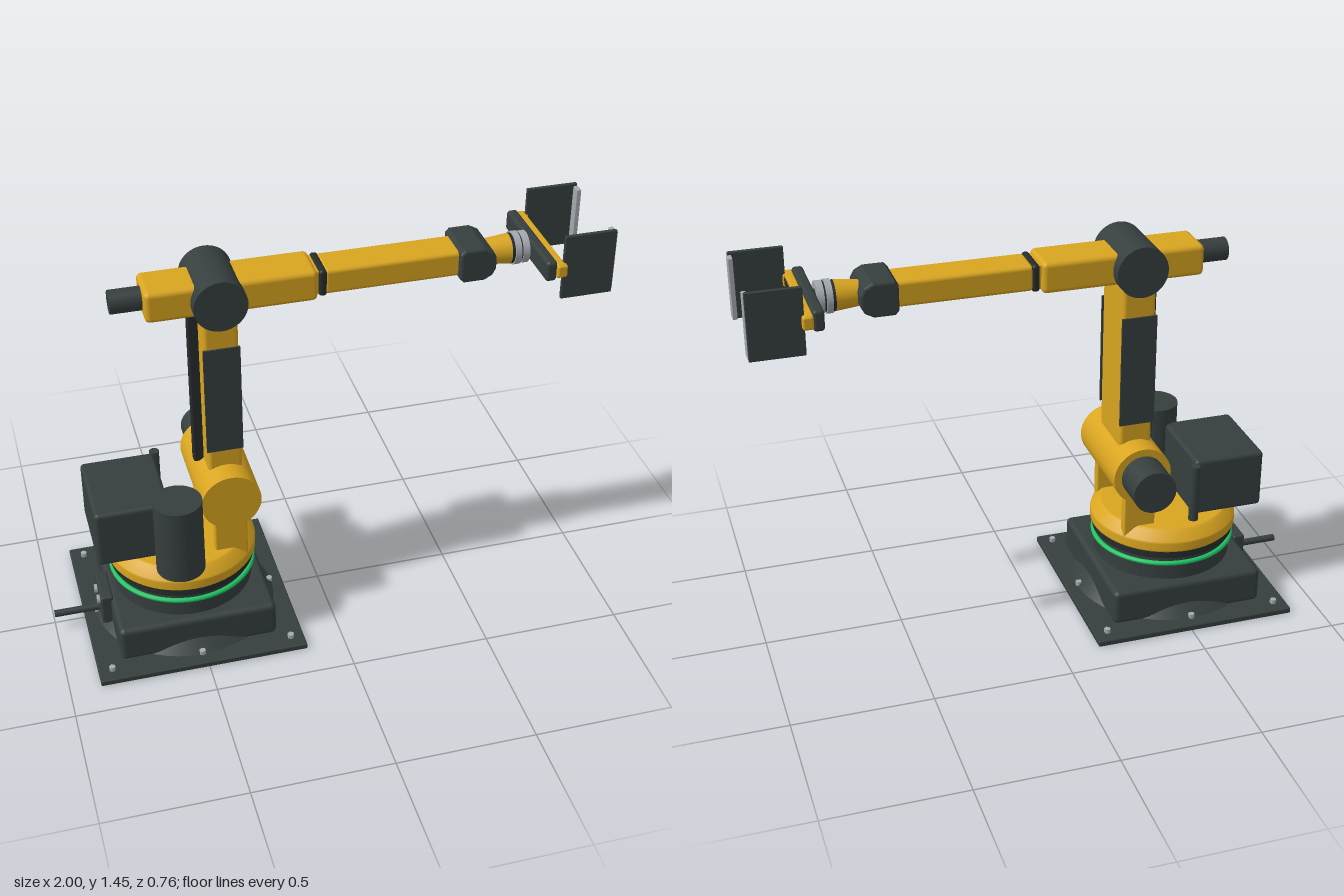
import * as THREE from 'three';
import { RoundedBoxGeometry } from 'three/addons/geometries/RoundedBoxGeometry.js';

const material = (name, color) => {
  const m = new THREE.MeshStandardMaterial({ color });
  m.name = name;
  return m;
};

export function createModel() {
  const yellow = material('yellow paint', 0xd9a520);
  const dark = material('charcoal', 0x363e3e);
  const black = material('black trim', 0x252b2c);
  const green = material('green light', 0x1fc463);
  const steel = material('steel', 0xa4a9b0);

  const root = new THREE.Group();
  root.name = 'robotArm';

  const add = (name, geometry, mat, x = 0, y = 0, z = 0) => {
    const mesh = new THREE.Mesh(geometry, mat);
    mesh.name = name;
    mesh.position.set(x, y, z);
    root.add(mesh);
    return mesh;
  };
  // Boxes are given by their limits on each axis; r rounds the edges
  const box = (name, mat, [x0, x1], [y0, y1], [z0, z1], r = 0) => {
    const s = [x1 - x0, y1 - y0, z1 - z0];
    const g = r ? new RoundedBoxGeometry(...s, 3, r) : new THREE.BoxGeometry(...s);
    return add(name, g, mat, (x0 + x1) / 2, (y0 + y1) / 2, (z0 + z1) / 2);
  };
  // Cylinders run from a to b along one axis; u and v are the other two coordinates in order
  const cyl = (name, mat, axis, a, b, u, v, r0, r1 = r0, n = 40) => {
    const g = new THREE.CylinderGeometry(r1, r0, b - a, n);
    const m = (a + b) / 2;
    if (axis === 'x') g.rotateZ(-Math.PI / 2);
    if (axis === 'z') g.rotateX(Math.PI / 2);
    const p = { x: [m, u, v], y: [u, m, v], z: [u, v, m] }[axis];
    return add(name, g, mat, ...p);
  };

  const BX = -0.515; // turning axis of the base
  const JX = -0.36;  // shoulder and elbow axis
  const AY = 1.323;  // height of the upper arm

  // Base plate, housing and bolts
  box('basePlate', dark, [-0.89, -0.14], [0, 0.022], [-0.38, 0.38], 0.005);
  box('baseHousing', dark, [-0.8, -0.23], [0.015, 0.15], [-0.288, 0.288], 0.02);
  cyl('baseFlare', dark, 'y', 0.02, 0.07, BX, 0, 0.335, 0.28, 48);
  for (const i of [-1, 0, 1]) {
    for (const k of [-1, 0, 1]) {
      if (i || k) cyl('baseBolt', steel, 'y', 0.02, 0.038, BX + i * 0.326, k * 0.328, 0.012, 0.012, 6);
    }
  }

  // Rear connector box and cable
  box('connectorBox', dark, [-0.835, -0.79], [0.04, 0.16], [-0.06, 0.1], 0.008);
  for (const z of [0, 0.06]) cyl('connector', steel, 'x', -0.845, -0.83, 0.128, z, 0.016, 0.016, 16);
  cyl('cable', dark, 'x', -1, -0.8, 0.068, 0.03, 0.013, 0.013, 16);

  // Turning column with light ring
  cyl('column', dark, 'y', 0.14, 0.215, BX, 0, 0.253, 0.253, 64);
  cyl('columnNeck', dark, 'y', 0.21, 0.25, BX, 0, 0.245, 0.245, 64);
  cyl('bearing', black, 'y', 0.245, 0.272, BX, 0, 0.262, 0.262, 64);
  const ring = new THREE.TorusGeometry(0.258, 0.009, 10, 64).rotateX(Math.PI / 2);
  add('lightRing', ring, green, BX, 0.22, 0);

  // Turntable with a sloped rim
  const rim = [[0, 0.27], [0.262, 0.27], [0.262, 0.27], [0.27, 0.278], [0.27, 0.278], [0.27, 0.308],
    [0.268, 0.316], [0.24, 0.345], [0.23, 0.35], [0.23, 0.35], [0, 0.35]];
  add('turntable', new THREE.LatheGeometry(rim.map(p => new THREE.Vector2(...p)), 64), yellow, BX, 0, 0);

  // Control box, motor and post standing on the turntable
  box('controlBox', dark, [-0.838, -0.572], [0.357, 0.578], [-0.168, 0.158], 0.015);
  box('controlBoxFoot', dark, [-0.74, -0.58], [0.34, 0.37], [-0.1, 0.1]);
  cyl('turnMotor', dark, 'y', 0.348, 0.64, -0.557, 0.22, 0.086);
  cyl('post', dark, 'y', 0.345, 0.57, -0.565, -0.182, 0.018, 0.018, 20);

  // Shoulder
  for (const s of [-1, 1]) {
    box('shoulderBracket', yellow, [-0.42, -0.302], [0.29, 0.56], [s * 0.15 - 0.018, s * 0.15 + 0.018], 0.006);
  }
  cyl('shoulder', yellow, 'z', -0.187, 0.187, JX, 0.566, 0.107, 0.107, 56);
  cyl('shoulderMotor', dark, 'z', -0.315, -0.18, JX, 0.567, 0.079);

  // Lower arm with side covers and cable duct
  box('lowerArm', yellow, [-0.42, -0.299], [0.58, 1.265], [-0.105, 0.105], 0.015);
  for (const s of [-1, 1]) {
    box('sideCover', dark, [-0.424, -0.296], [0.738, 1.152], [s * 0.107 - 0.004, s * 0.107 + 0.004]);
  }
  box('cableDuct', black, [-0.455, -0.415], [0.64, 1.25], [-0.018, 0.018], 0.006);

  // Elbow and upper arm
  cyl('elbow', dark, 'z', -0.128, 0.128, JX, AY + 0.002, 0.092, 0.092, 48);
  box('upperArm', yellow, [-0.603, -0.018], [1.267, 1.38], [-0.081, 0.081], 0.018);
  cyl('rollMotor', dark, 'x', -0.71, -0.59, AY + 0.002, 0, 0.041);
  box('armCollar', black, [-0.012, 0.016], [1.275, 1.373], [-0.071, 0.071], 0.012);
  box('armNeck', yellow, [-0.03, 0.02], [1.282, 1.366], [-0.06, 0.06]);
  box('forearm', yellow, [0.008, 0.5], [1.278, 1.37], [-0.066, 0.066], 0.014);

  // Wrist block
  const side = [[0.478, 0.045], [0.492, 0.061], [0.565, 0.061], [0.595, 0.045], [0.608, 0.02]];
  const outline = [...side, ...side.map(([x, y]) => [x, -y]).reverse()];
  const wrist = new THREE.ExtrudeGeometry(new THREE.Shape(outline.map(p => new THREE.Vector2(...p))),
    { depth: 0.164, bevelThickness: 0.01, bevelSize: 0.008, bevelOffset: -0.008, bevelSegments: 2 });
  add('wrist', wrist, dark, 0, AY + 0.001, -0.082);

  // Tool flange
  cyl('wristCone', yellow, 'x', 0.58, 0.682, AY, 0, 0.043, 0.053);
  cyl('flangeSeal', black, 'x', 0.68, 0.692, AY, 0, 0.053);
  cyl('flangeRing', steel, 'x', 0.69, 0.712, AY, 0, 0.058);
  cyl('flangeGap', black, 'x', 0.71, 0.72, AY, 0, 0.052);
  cyl('flange', steel, 'x', 0.718, 0.742, AY, 0, 0.056);
  cyl('gripperMount', dark, 'x', 0.74, 0.76, AY, 0, 0.03);

  // Gripper beam with slide rail
  box('gripperBeam', dark, [0.746, 0.785], [1.287, 1.361], [-0.198, 0.198], 0.012);
  box('gripperRail', yellow, [0.783, 0.812], [1.298, 1.35], [-0.2, 0.2], 0.006);
  box('railSlot', black, [0.808, 0.815], [1.313, 1.335], [-0.165, 0.165]);

  // Gripper fingers with steel end lips
  for (const s of [-1, 1]) {
    const span = (a, b) => (s > 0 ? [a, b] : [-b, -a]);
    box('fingerCarriage', yellow, [0.783, 0.82], [1.3, 1.347], span(0.165, 0.206), 0.008);
    box('finger', dark, [0.81, 0.997], [1.205, 1.445], span(0.171, 0.185), 0.004);
    box('fingerLip', steel, [0.983, 1], [1.215, 1.435], span(0.138, 0.181), 0.003);
  }

  return root;
}
